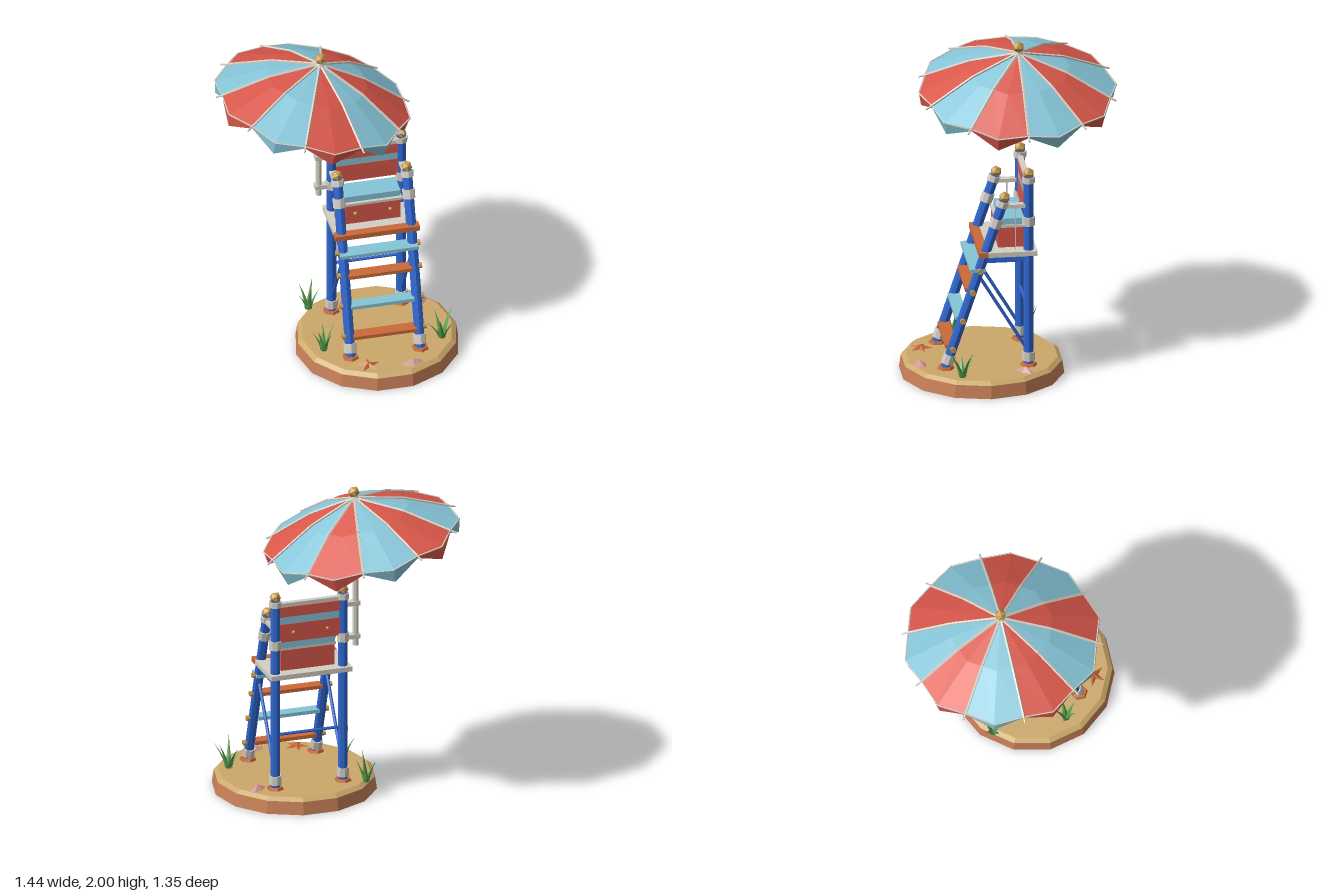
import * as THREE from 'three';

const V = (x, y, z) => new THREE.Vector3(x, y, z);

export function createModel() {
  const root = new THREE.Group();
  root.name = 'beachLookoutChair';

  const mat = (name, color) => {
    const m = new THREE.MeshStandardMaterial({ color, flatShading: true, side: THREE.DoubleSide });
    m.name = name;
    return m;
  };
  const red = mat('red', 0xd9574a), sky = mat('lightBlue', 0x86c5d8), blue = mat('blue', 0x2f66d0);
  const white = mat('offWhite', 0xd4cfc4), gold = mat('gold', 0xc49a4e), orange = mat('orange', 0xcb6a38);
  const sand = mat('sand', 0xcba86a), clay = mat('clay', 0xc98058);
  const green = mat('green', 0x5aa04e), pink = mat('pink', 0xd29a94);

  const add = (name, geo, m, x = 0, y = 0, z = 0, parent = root) => {
    const mesh = new THREE.Mesh(geo, m);
    mesh.name = name;
    mesh.position.set(x, y, z);
    parent.add(mesh);
    return mesh;
  };
  // box given by its min and max along each axis
  const box = (name, m, x0, x1, y0, y1, z0, z1) =>
    add(name, new THREE.BoxGeometry(x1 - x0, y1 - y0, z1 - z0), m, (x0 + x1) / 2, (y0 + y1) / 2, (z0 + z1) / 2);
  // round bar between two points
  const rod = (name, m, p, q, r, sides = 8, parent = root, r2 = r) => {
    const mesh = add(name, new THREE.CylinderGeometry(r2, r, p.distanceTo(q), sides), m, 0, 0, 0, parent);
    mesh.position.copy(p).lerp(q, 0.5);
    mesh.quaternion.setFromUnitVectors(V(0, 1, 0), q.clone().sub(p).normalize());
    return mesh;
  };
  const ball = (name, x, y, z, r = 0.036) => add(name, new THREE.IcosahedronGeometry(r, 0), gold, x, y, z);

  // sand island
  const disc = (name, m, rTop, rBottom, y0, y1) =>
    add(name, new THREE.CylinderGeometry(rTop, rBottom, y1 - y0, 14, 1, false, Math.PI / 2), m, 0.22, (y0 + y1) / 2, 0.18);
  disc('islandBody', clay, 0.49, 0.502, 0, 0.08);
  disc('islandTop', sand, 0.462, 0.49, 0.08, 0.1);

  // legs with feet, collars and finials
  const LX = [0, 0.432], MX = 0.216, BZ = -0.08;
  const frontZ = (y) => 0.42 - (y - 0.12) * 0.331;
  for (const x of LX) {
    const onLeg = { front: (y) => V(x, y, frontZ(y)), back: (y) => V(x, y, BZ) };
    const spec = { front: { top: 1.17, collars: [0.16, 1.03, 1.15] }, back: { top: 1.32, collars: [0.16, 1.035, 1.3] } };
    for (const side of ['front', 'back']) {
      const at = onLeg[side], { top, collars } = spec[side];
      rod(side + 'Leg', blue, at(0.1), at(top), 0.031);
      for (const y of collars) rod(side + 'LegCollar', white, at(y - (y > 1.1 ? 0.018 : 0.028)), at(y + (y > 1.1 ? 0.018 : 0.028)), 0.039);
      const foot = at(0.107);
      add(side + 'Foot', new THREE.CylinderGeometry(0.046, 0.054, 0.018, 6), orange, foot.x, foot.y, foot.z);
      const tip = at(top + 0.02);
      ball(side + 'LegFinial', tip.x, tip.y + 0.002, tip.z);
    }
    // side braces and armrest
    rod('diagonalBrace', blue, V(x, 0.7, frontZ(0.7)), V(x, 0.22, BZ + 0.02), 0.01, 6);
    box('sideRail', blue, x - 0.013, x + 0.013, 0.775, 0.805, BZ, 0.17);
    box('armrest', white, x - 0.02, x + 0.02, 1.125, 1.148, BZ, 0.08);
    rod('armrestPost', white, V(x, 0.85, 0), V(x, 1.13, 0), 0.004, 5);
  }
  rod('rearBar', blue, V(0, 0.45, BZ), V(0.432, 0.45, BZ), 0.009, 6);

  // ladder rungs with end bolts
  [[0.23, orange], [0.412, sky], [0.593, orange], [0.73, sky]].forEach(([y, m], i) => {
    const z = frontZ(y), over = i === 3 ? 0.025 : -0.02;
    box('rung', m, -over, 0.432 + over, y - 0.011, y + 0.011, z - 0.035, z + (i === 3 ? 0.06 : 0.04));
    for (const s of [-1, 1]) rod('rungBolt', gold, V(MX + s * 0.2, y, z), V(MX + s * 0.262, y, z), 0.018, 8);
  });

  // platform and its front plank
  box('platform', white, -0.045, 0.475, 0.82, 0.85, -0.13, 0.2);
  box('platformPlank', orange, -0.048, 0.478, 0.82, 0.852, 0.17, 0.225);

  // seat
  box('seatBox', red, 0.045, 0.387, 0.85, 0.98, -0.055, 0.1);
  box('seatFrame', white, 0.035, 0.397, 0.98, 0.997, -0.055, 0.105);
  box('seatCushion', sky, 0.042, 0.39, 0.997, 1.036, -0.06, 0.085);
  for (const x of [0.105, 0.322]) {
    ball('seatKnob', x, 0.922, 0.102, 0.014);
    for (const z of [-0.095, -0.062]) ball('backrestKnob', x, 1.11, z - (z < -0.09 ? 0.005 : 0.012), 0.012);
  }

  // backrest slats
  box('lowerSlat', red, 0.025, 0.407, 1.05, 1.165, -0.095, -0.062);
  box('middleSlat', sky, 0.025, 0.407, 1.165, 1.212, -0.09, -0.066);
  box('upperSlat', red, 0.025, 0.407, 1.212, 1.275, -0.095, -0.062);
  box('topRail', white, 0.02, 0.412, 1.278, 1.302, -0.095, -0.062);

  // umbrella pole and clamps
  const PX = -0.08;
  rod('umbrellaPole', white, V(PX, 0.97, BZ), V(PX, 1.9, BZ), 0.019);
  for (const y of [1.03, 1.245]) {
    box('poleClamp', white, PX - 0.025, 0, y - 0.014, y + 0.014, BZ - 0.022, BZ + 0.022);
  }
  add('poleCollar', new THREE.CylinderGeometry(0.026, 0.026, 0.05, 8), sky, PX, 1.55, BZ);
  for (const s of [-1, 1]) box('poleCollarTab', green, PX - 0.01, PX + 0.01, 1.53, 1.57, BZ + s * 0.026 - 0.004, BZ + s * 0.026 + 0.004);

  // tilted umbrella: ten panels, each creased down its middle
  const umbrella = new THREE.Group();
  umbrella.name = 'umbrella';
  umbrella.position.set(-0.073, 1.92, BZ);
  umbrella.rotation.z = -0.183;
  root.add(umbrella);
  const polar = (r, y, a) => V(r * Math.cos(a), y, -r * Math.sin(a));
  const STEP = Math.PI / 5;
  // rows from the hub outwards: [rib radius, rib y, middle radius, middle y]
  const rows = [[0.01, 0, 0.01, 0], [0.3, -0.095, 0.315, -0.1], [0.57, -0.235, 0.6, -0.25], [0.568, -0.25, 0.585, -0.335]];
  for (let k = 0; k < 10; k++) {
    const a = k * STEP, pos = [], idx = [];
    rows.forEach(([r, y, rm, ym], i) => {
      for (const p of [polar(r, y, a), polar(rm, ym, a + STEP / 2), polar(r, y, a + STEP)]) pos.push(p.x, p.y, p.z);
      if (i === 0) return;
      for (let j = 0; j < 2; j++) {
        const n = i * 3 + j, u = n - 3;
        idx.push(u, n, n + 1, u, n + 1, u + 1);
      }
    });
    const geo = new THREE.BufferGeometry();
    geo.setAttribute('position', new THREE.Float32BufferAttribute(pos, 3));
    geo.setIndex(idx);
    geo.computeVertexNormals();
    add('canopyPanel', geo, k % 2 ? red : sky, 0, 0, 0, umbrella);

    // rib along the seam, and trim round the rim
    const rib = [polar(0.01, 0.003, a), polar(0.3, -0.092, a), polar(0.57, -0.232, a), polar(0.61, -0.25, a)];
    for (let i = 0; i < 3; i++) rod('canopyRib', white, rib[i], rib[i + 1], i === 2 ? 0.006 : 0.009, 5, umbrella);
    const mid = polar(0.601, -0.25, a + STEP / 2);
    rod('rimTrim', white, polar(0.571, -0.235, a), mid, 0.005, 4, umbrella);
    rod('rimTrim', white, mid, polar(0.571, -0.235, a + STEP), 0.005, 4, umbrella);
  }
  add('canopyHub', new THREE.CylinderGeometry(0.02, 0.036, 0.03, 10), white, 0, 0.004, 0, umbrella);
  ball('umbrellaFinial', -0.07, 1.964, BZ, 0.037);

  // grass tufts: bent, tapering blades leaning outwards [x, z, blades, lean, turn]
  for (const [x, z, count, lean, turn] of [[0.585, 0.34, 5, 0.085, 0.6], [-0.14, 0.31, 5, 0.06, 0.2], [-0.13, -0.14, 5, 0.06, 1]]) {
    const tuft = new THREE.Group();
    tuft.name = 'grassTuft';
    tuft.position.set(x, 0.098, z);
    root.add(tuft);
    for (let i = 0; i < count; i++) {
      const a = turn + (i * Math.PI * 2) / count, h = 0.18 - (i % 3) * 0.03;
      const blade = new THREE.ConeGeometry(0.02, h, 4, 3);
      const p = blade.attributes.position;
      for (let v = 0; v < p.count; v++) {
        const t = p.getY(v) / h + 0.5;
        p.setXYZ(v, p.getX(v) * 0.5 + 0.01 + lean * (0.5 * t + 0.5 * t * t), t * h, p.getZ(v));
      }
      blade.computeVertexNormals();
      add('grassBlade', blade, green, 0, 0, 0, tuft).rotation.y = a;
    }
  }

  // starfish: a raised five-pointed fan
  const star = [0, 0.026, 0], starIdx = [];
  for (let i = 0; i < 10; i++) {
    const p = polar(i % 2 ? 0.026 : 0.072, 0, (i * Math.PI) / 5 + 0.25);
    star.push(p.x, p.y, p.z);
    starIdx.push(0, i + 1, ((i + 1) % 10) + 1);
  }
  const starGeo = new THREE.BufferGeometry();
  starGeo.setAttribute('position', new THREE.Float32BufferAttribute(star, 3));
  starGeo.setIndex(starIdx);
  starGeo.computeVertexNormals();
  add('starfish', starGeo, orange, 0.085, 0.101, 0.535);

  // seashells
  for (const [x, z, turn] of [[0.535, -0.05, 0.7], [0.35, 0.57, 0.1]]) {
    const shell = add('seashell', new THREE.ConeGeometry(0.075, 0.03, 6), pink, x, 0.114, z);
    shell.scale.z = 0.5;
    shell.rotation.y = turn;
  }

  return root;
}
